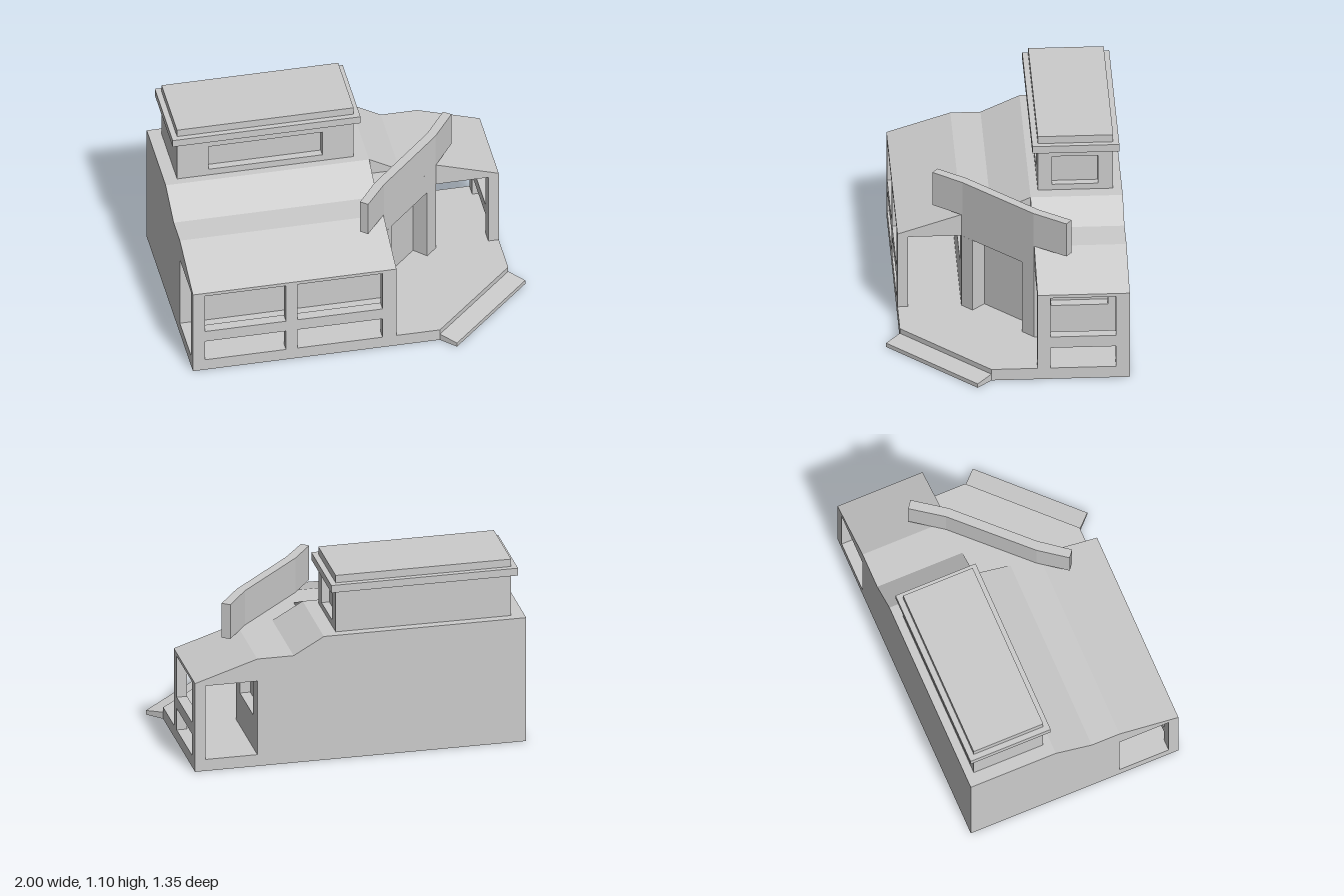
import * as THREE from 'three';

export function createModel() {
  const root = new THREE.Group();
  const mat = new THREE.MeshStandardMaterial({ color: 0xcccccc, flatShading: true });

  const add = (name, geo, parent = root) => {
    const m = new THREE.Mesh(geo, mat);
    m.name = name;
    parent.add(m);
    return m;
  };
  const shapeOf = pts => new THREE.Shape(pts.map(p => new THREE.Vector2(p[0], p[1])));
  const extrude = (shape, depth) => new THREE.ExtrudeGeometry(shape, { depth, bevelEnabled: false });

  // Box given by its limits
  const box = (name, x0, x1, y0, y1, z0, z1, parent) =>
    add(name, new THREE.BoxGeometry(x1 - x0, y1 - y0, z1 - z0)
      .translate((x0 + x1) / 2, (y0 + y1) / 2, (z0 + z1) / 2), parent);

  // Vertical prism over a plan outline of [x, z] points
  const slab = (name, plan, y0, y1) =>
    add(name, extrude(shapeOf(plan.map(([x, z]) => [x, -z])), y1 - y0)
      .rotateX(-Math.PI / 2).translate(0, y0, 0));

  // Wall from plan point a to b; holes are [u0, u1, y0, y1] along the wall
  const wall = (name, a, b, y0, y1, depth, holes = []) => {
    const dx = b[0] - a[0], dz = b[1] - a[1], len = Math.hypot(dx, dz);
    const s = shapeOf([[0, y0], [len, y0], [len, y1], [0, y1]]);
    for (const [u0, u1, v0, v1] of holes)
      s.holes.push(shapeOf([[u0, v0], [u0, v1], [u1, v1], [u1, v0]]));
    const m = add(name, extrude(s, depth).translate(0, 0, -depth));
    m.position.set(a[0], 0, a[1]);
    m.rotation.y = Math.atan2(-dz, dx);
    return m;
  };

  const FLOOR = 0.07, CEIL = 0.52, EAVE = 0.54, MID = 0.655, TOP = 0.755;

  // Floor plate with cut corner
  slab('floorPlate', [[-1, -0.68], [0.915, -0.68], [0.915, 0.1], [0.42, 0.59], [-1, 0.59]], 0, FLOOR);

  // Sloping entrance step along the cut corner
  const stepLen = Math.hypot(0.495, 0.49);
  const step = add('entranceStep',
    extrude(shapeOf([[0, 0], [0.115, 0], [0.115, 0.025], [0, 0.04]]), stepLen).rotateY(-Math.PI / 2)
      .translate(stepLen, 0, 0));
  step.position.set(0.42, 0, 0.59);
  step.rotation.y = Math.atan2(0.49, 0.495);

  // House core and its outer walls with recessed windows
  slab('houseCore', [[-1, -0.68], [0.495, -0.68], [0.495, -0.235], [0.09, 0.17], [-1, 0.17]], FLOOR, CEIL);
  wall('frontWall', [-1, 0.23], [0.17, 0.23], FLOOR, CEIL, 0.06,
    [[0.135, 0.445, 0.27, 0.515], [0.715, 1.03, 0.27, 0.515]]);
  wall('sideWall', [0.555, -0.16], [0.555, -0.68], FLOOR, CEIL, 0.06, [[0.095, 0.415, 0.27, 0.515]]);

  // Jambs on both sides of the recessed doorway
  wall('doorJamb', [0.17, 0.23], [0.23, 0.17], FLOOR, CEIL, 0.105);
  wall('doorJamb', [0.49, -0.095], [0.555, -0.16], FLOOR, CEIL, 0.105);

  // Roofs: stepped slopes falling to the front and to the side
  add('frontRoof', extrude(shapeOf([[0.68, CEIL], [0.68, TOP], [0.16, TOP], [-0.06, MID],
    [-0.23, MID], [-0.59, EAVE], [-0.59, CEIL]]), 1.17).rotateY(Math.PI / 2).translate(-1, 0, 0));
  add('sideRoof', extrude(shapeOf([[0.17, CEIL], [0.915, CEIL], [0.915, EAVE], [0.555, MID],
    [0.345, MID], [0.17, TOP]]), 0.52).translate(0, 0, -0.68));
  slab('cornerRoof', [[0.17, 0.23], [0.17, -0.16], [0.555, -0.16]], CEIL, MID);

  // Bent parapet above the doorway
  slab('parapet', [[0.05, 0.387], [0.175, 0.225], [0.55, -0.155], [0.68, -0.335],
    [0.637, -0.366], [0.51, -0.19], [0.125, 0.2], [0.01, 0.355]], MID, 0.865);

  // Front veranda posts and rail
  const front = new THREE.Group();
  front.name = 'frontVeranda';
  root.add(front);
  for (const [x0, x1] of [[-1, -0.93], [-0.465, -0.4], [0.09, 0.17]])
    box('verandaPost', x0, x1, FLOOR, CEIL, 0.53, 0.59, front);
  for (const [x0, x1] of [[-0.93, -0.465], [-0.4, 0.09]])
    box('verandaRail', x0, x1, 0.2, 0.27, 0.53, 0.59, front);

  // Side veranda posts and rail
  const side = new THREE.Group();
  side.name = 'sideVeranda';
  root.add(side);
  for (const [z0, z1] of [[-0.68, -0.603], [-0.232, -0.16]])
    box('verandaPost', 0.855, 0.915, FLOOR, CEIL, z0, z1, side);
  box('verandaRail', 0.855, 0.915, 0.2, 0.27, -0.603, -0.232, side);

  // Upper storey with recessed front and side windows, cornice and cap
  box('upperCore', -0.925, 0.045, TOP, 1.01, -0.63, -0.25);
  wall('upperFrontWall', [-0.925, -0.205], [0.09, -0.205], TOP, 1.01, 0.045, [[0.18, 0.835, 0.795, 0.955]]);
  wall('upperSideWall', [0.09, -0.205], [0.09, -0.63], TOP, 1.01, 0.045, [[0.08, 0.34, 0.79, 0.97]]);
  box('cornice', -0.957, 0.123, 1.01, 1.055, -0.663, -0.173);
  box('roofCap', -0.925, 0.09, 1.055, 1.1, -0.63, -0.205);

  return root;
}
